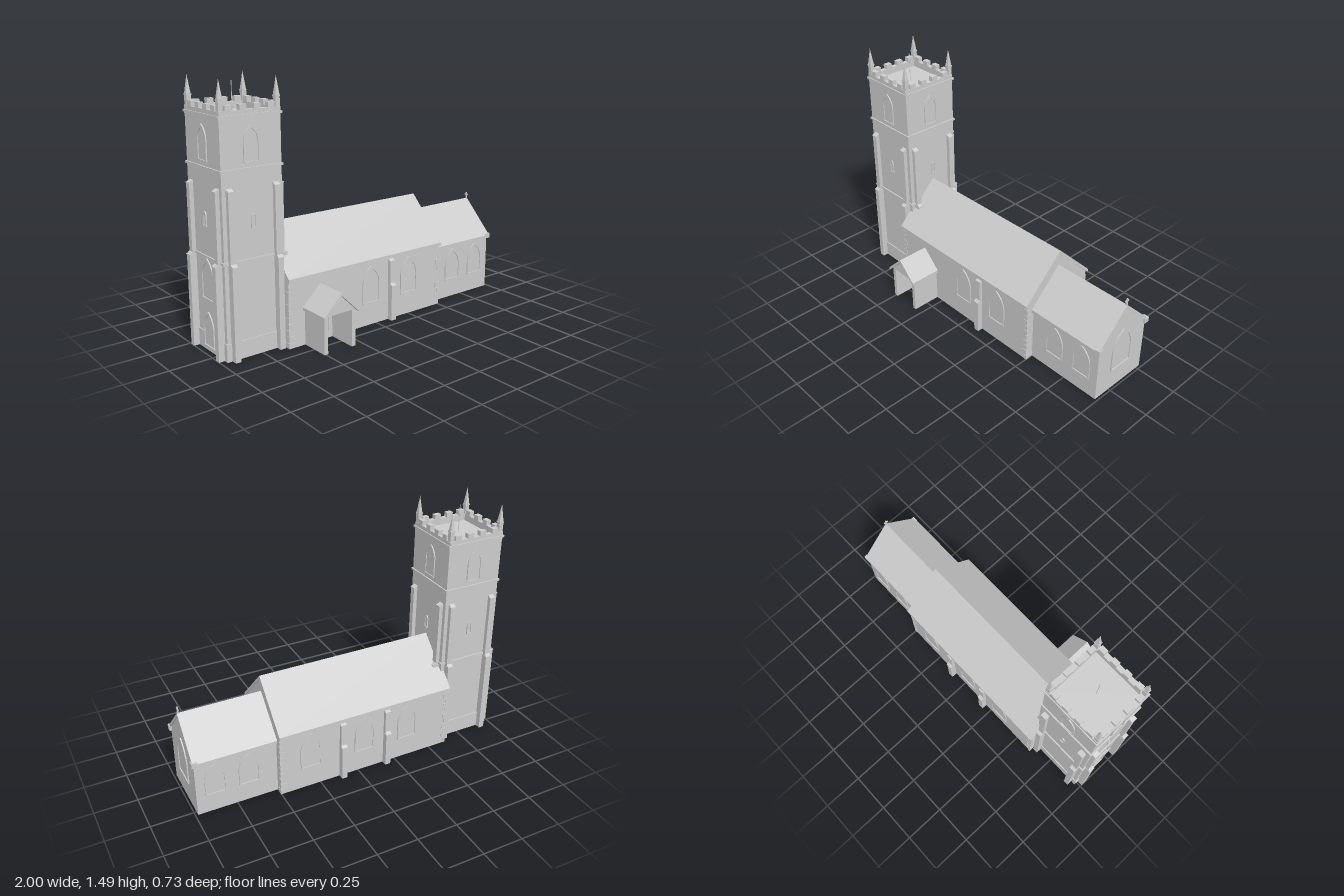
import * as THREE from 'three';

const stone = new THREE.MeshStandardMaterial({ color: 0xcccccc });
stone.name = 'pale stone';

const AXIS = -0.082; // z of the ridge line
const TX = -0.78;    // tower centre
const TH = 0.181;    // tower half width

function add(parent, name, geometry, x = 0, y = 0, z = 0) {
  const mesh = new THREE.Mesh(geometry, stone);
  mesh.name = name;
  mesh.position.set(x, y, z);
  parent.add(mesh);
  return mesh;
}

// Box given by its minimum and maximum corners
function block(parent, name, x0, x1, y0, y1, z0, z1) {
  return add(parent, name, new THREE.BoxGeometry(x1 - x0, y1 - y0, z1 - z0),
    (x0 + x1) / 2, (y0 + y1) / 2, (z0 + z1) / 2);
}

function extrude(points, depth) {
  const shape = new THREE.Shape(points.map(([x, y]) => new THREE.Vector2(x, y)));
  return new THREE.ExtrudeGeometry(shape, { depth, bevelEnabled: false });
}

// Group whose local +z points out of a wall
function onWall(parent, name, x, y, z, angle) {
  const g = new THREE.Group();
  g.name = name;
  g.position.set(x, y, z);
  g.rotation.y = angle;
  parent.add(g);
  return g;
}

function archPath(Type, w, h, y0 = 0) {
  const p = new Type();
  const a = w / 2, spring = h - w * 0.87;
  p.moveTo(-a, y0);
  p.lineTo(a, y0);
  p.lineTo(a, spring);
  p.absarc(-a, spring, w, 0, Math.PI / 3, false);
  p.absarc(a, spring, w, Math.PI * 2 / 3, Math.PI, false);
  p.lineTo(-a, y0);
  return p;
}

// Pointed opening: thin pane, hood mould and sill
function archWindow(parent, name, x, y, z, angle, w, h, sill = true) {
  const g = onWall(parent, name, x, y, z, angle);
  const t = Math.min(0.009, w * 0.15);
  add(g, 'pane', new THREE.ExtrudeGeometry(archPath(THREE.Shape, w - t, h - t),
    { depth: 0.002, bevelEnabled: false, curveSegments: 8 }));
  const ring = archPath(THREE.Shape, w, h);
  ring.holes.push(archPath(THREE.Path, w - 2 * t, h - 2 * t, 0.003));
  add(g, 'hoodMould', new THREE.ExtrudeGeometry(ring,
    { depth: 0.007, bevelEnabled: false, curveSegments: 8 }));
  if (sill) block(g, 'sill', -w / 2, w / 2, -0.004, 0.003, 0, 0.008);
}

// Two-stage buttress with sloping weatherings
function buttress(parent, x, z, angle, width, y1, d1, y2, d2) {
  const g = onWall(parent, 'buttress', x, 0, z, angle);
  const geo = extrude([[-0.01, 0], [d1, 0], [d1, y1 - 0.012], [d2, y1], [d2, y2 - 0.012], [0, y2], [-0.01, y2]], width);
  geo.rotateY(-Math.PI / 2);
  geo.translate(width / 2, 0, 0);
  add(g, 'buttressShaft', geo);
  // Slightly projecting drip courses
  block(g, 'lowerDrip', -width / 2 - 0.002, width / 2 + 0.002, y1 - 0.018, y1 - 0.012, 0, d1 + 0.003);
  block(g, 'upperDrip', -width / 2 - 0.002, width / 2 + 0.002, y2 - 0.018, y2 - 0.012, 0, d2 + 0.003);
}

// Gabled walls and roof running along local z, from z = 0 to length
function gabled(parent, name, { half, eave, ridge, length, over, thick, front = 0, back = 0, walls = true }) {
  const slope = (ridge - eave) / over;
  const under = ridge - thick;
  if (walls) {
    const top = under - slope * half;
    add(parent, name + 'Walls', extrude([[-half, 0], [half, 0], [half, top], [0, under], [-half, top]], length));
  }
  add(parent, name + 'Roof', extrude([[-over, eave - thick], [0, under], [over, eave - thick],
    [over, eave], [0, ridge], [-over, eave]], length + front + back), 0, 0, -back);
}

function buildTower(root) {
  const tower = new THREE.Group();
  tower.name = 'tower';
  tower.position.set(TX, 0, AXIS);
  root.add(tower);

  block(tower, 'towerBody', -TH, TH, 0, 1.29, -TH, TH);
  block(tower, 'plinth', -TH - 0.006, TH + 0.006, 0, 0.1, -TH - 0.006, TH + 0.006);
  for (const y of [0.54, 1.025, 1.3]) {
    const r = TH + 0.008;
    for (let i = 0; i < 4; i++) {
      const g = onWall(tower, 'stringCourse', 0, 0, 0, i * Math.PI / 2);
      block(g, 'moulding', -r, r, y - 0.006, y + 0.006, TH - 0.01, r);
    }
  }

  // The same arrangement on each of the four faces
  for (let i = 0; i < 4; i++) {
    const side = onWall(tower, 'towerFace', 0, 0, 0, i * Math.PI / 2);
    block(side, 'parapet', -TH, TH, 1.28, 1.328, TH - 0.028, TH + 0.002);
    for (let k = 0; k < 4; k++) {
      const x = (k - 1.5) * 0.084;
      block(side, 'merlon', x - 0.02, x + 0.02, 1.328, 1.356, TH - 0.028, TH + 0.002);
    }
    for (const s of [-1, 1]) buttress(side, s * 0.14, TH, 0, 0.034, 0.54, 0.04, 0.935, 0.024);
    archWindow(side, 'belfryWindow', 0, 1.06, TH, 0, 0.095, 0.19);
    archWindow(side, 'slitWindow', 0, 0.71, TH, 0, 0.03, 0.08);
  }
  archWindow(tower, 'westWindow', -TH, 0.3, 0, -Math.PI / 2, 0.13, 0.23);
  archWindow(tower, 'westDoor', -TH - 0.006, 0.03, 0, -Math.PI / 2, 0.11, 0.2);

  // Corner pinnacles
  for (const sx of [-1, 1]) for (const sz of [-1, 1]) {
    const g = onWall(tower, 'pinnacle', sx * 0.167, 0, sz * 0.167, 0);
    block(g, 'pinnacleBase', -0.013, 0.013, 1.32, 1.39, -0.013, 0.013);
    block(g, 'pinnacleCollar', -0.015, 0.015, 1.38, 1.388, -0.015, 0.015);
    const spire = new THREE.ConeGeometry(0.0175, 0.1, 4).toNonIndexed();
    spire.rotateY(Math.PI / 4);
    spire.computeVertexNormals();
    add(g, 'pinnacleSpire', spire, 0, 1.44, 0);
  }
  add(tower, 'flagpole', new THREE.CylinderGeometry(0.002, 0.002, 0.17, 8), 0, 1.375, 0);
}

function buildNave(root) {
  const nave = onWall(root, 'nave', -0.615, 0, AXIS, Math.PI / 2);
  gabled(nave, 'nave', { half: 0.246, eave: 0.405, ridge: 0.667, length: 1.115, over: 0.261, thick: 0.022, front: 0.006, back: 0.006 });
  const zF = AXIS + 0.246, zB = AXIS - 0.246;

  // Alternating quoins at the corners
  for (const x of [-0.615, 0.5]) for (const z of [zF, zB]) {
    const sx = x < 0 ? 1 : -1, sz = z > AXIS ? -1 : 1;
    for (let i = 0; i < 10; i++) {
      const a = i % 2 ? 0.03 : 0.016, b = i % 2 ? 0.016 : 0.03, y = 0.018 + i * 0.037;
      const mx = x - sx * 0.003, mz = z - sz * 0.003;
      block(root, 'quoin', Math.min(mx, mx + sx * a), Math.max(mx, mx + sx * a), y - 0.016, y + 0.016,
        Math.min(mz, mz + sz * b), Math.max(mz, mz + sz * b));
    }
  }
  buttress(root, 0.107, zF, 0, 0.034, 0.23, 0.035, 0.38, 0.02);
  for (const x of [0.107, -0.187]) buttress(root, x, zB, Math.PI, 0.034, 0.23, 0.035, 0.38, 0.02);
  for (const x of [-0.04, 0.25]) archWindow(root, 'naveWindow', x, 0.14, zF, 0, 0.13, 0.225);
  for (const x of [0.31, -0.04, -0.33]) archWindow(root, 'naveWindow', x, 0.14, zB, Math.PI, 0.13, 0.225);
}

function buildChancel(root) {
  const g = onWall(root, 'chancel', 0.49, 0, AXIS, Math.PI / 2);
  gabled(g, 'chancel', { half: 0.196, eave: 0.355, ridge: 0.566, length: 0.495, over: 0.211, thick: 0.02, front: 0.008 });
  for (const s of [-1, 1]) {
    // Kneeler stones at the foot of the gable
    block(g, 'kneeler', s * 0.196 - 0.016, s * 0.196 + 0.016, 0.335, 0.365, 0.475, 0.509);
    for (const x of [0.67, 0.87])
      archWindow(root, 'chancelWindow', x, 0.12, AXIS + s * 0.196, s > 0 ? 0 : Math.PI, 0.125, 0.2);
  }
  archWindow(root, 'eastWindow', 0.985, 0.14, AXIS, Math.PI / 2, 0.165, 0.26);
  // Gable cross
  block(root, 'crossShaft', 0.983, 0.991, 0.56, 0.605, AXIS - 0.004, AXIS + 0.004);
  block(root, 'crossArms', 0.983, 0.991, 0.586, 0.594, AXIS - 0.014, AXIS + 0.014);
}

function buildPorch(root) {
  const z0 = AXIS + 0.246;
  const porch = onWall(root, 'porch', -0.405, 0, z0, 0);
  const length = 0.181;
  gabled(porch, 'porch', { half: 0.105, eave: 0.222, ridge: 0.338, length, over: 0.118, thick: 0.018, front: 0.02, walls: false });
  for (const s of [-1, 1])
    block(porch, 'porchSideWall', s * 0.093 - 0.012, s * 0.093 + 0.012, 0, 0.217, 0, length);
  add(porch, 'porchGable', extrude([[-0.105, 0.215], [0.105, 0.215], [0, 0.32]], 0.02), 0, 0, length - 0.02);
  archWindow(porch, 'porchDoor', 0, 0.045, 0, 0, 0.12, 0.19);
}

export function createModel() {
  const root = new THREE.Group();
  root.name = 'church';
  buildTower(root);
  buildNave(root);
  buildChancel(root);
  buildPorch(root);
  return root;
}
